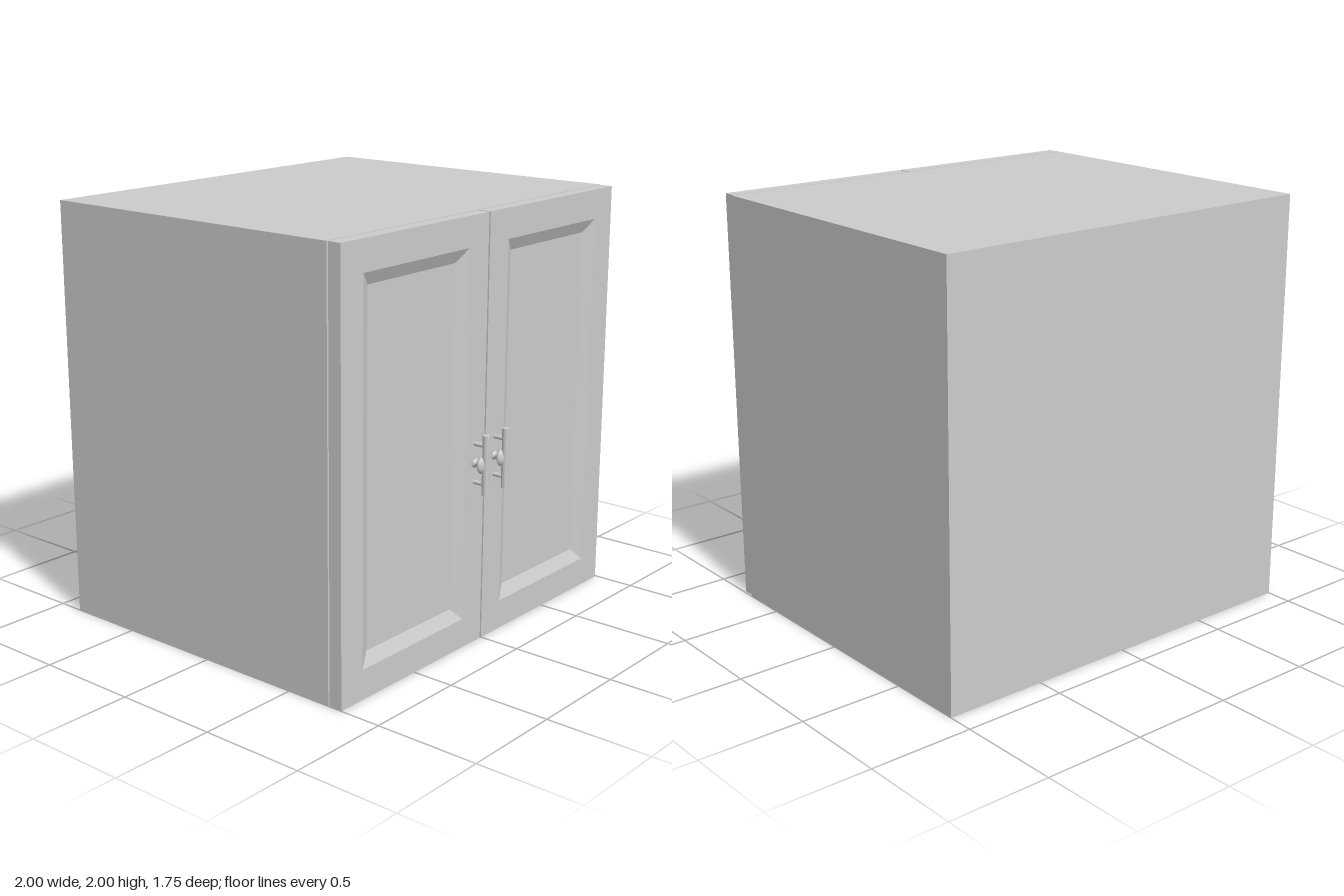
import * as THREE from 'three';

const material = new THREE.MeshStandardMaterial({ color: 0xcccccc });

function addMesh(parent, geometry, name, x = 0, y = 0, z = 0) {
  const mesh = new THREE.Mesh(geometry, material);
  mesh.name = name;
  mesh.position.set(x, y, z);
  parent.add(mesh);
  return mesh;
}

const rectPoints = (x0, x1, y0, y1) =>
  [[x0, y0], [x1, y0], [x1, y1], [x0, y1]].map(([x, y]) => new THREE.Vector2(x, y));

// Solid door lofted through rectangles: back edge, front edge, recess rim, recess floor
function doorGeometry(w, h, t) {
  const ring = (inset, z) =>
    rectPoints(inset, w - inset, inset, h - inset).map((p) => new THREE.Vector3(p.x, p.y, z));
  const rings = [ring(0, 0), ring(0, t), ring(0.14, t), ring(0.2, t - 0.03)];
  const points = [];
  const quad = (a, b, c, d) => points.push(a, b, c, a, c, d);
  for (let i = 0; i < rings.length - 1; i++) {
    for (let j = 0; j < 4; j++) {
      const k = (j + 1) % 4;
      quad(rings[i][j], rings[i][k], rings[i + 1][k], rings[i + 1][j]);
    }
  }
  quad(...rings[3]);
  quad(...[...rings[0]].reverse());
  const geometry = new THREE.BufferGeometry().setFromPoints(points);
  geometry.computeVertexNormals();
  return geometry;
}

// Bar pull on two posts, with a round knob in the middle; z = 0 is the door face
function createHandle(name) {
  const handle = new THREE.Group();
  handle.name = name;
  addMesh(handle, new THREE.CylinderGeometry(0.017, 0.017, 0.28, 24), 'handleBar', 0, 0, 0.062);
  for (const y of [-0.09, 0.09]) {
    const post = new THREE.CylinderGeometry(0.01, 0.01, 0.062, 16).rotateX(Math.PI / 2);
    addMesh(handle, post, 'handlePost', 0, y, 0.031);
  }
  const profile = [
    [0, 0], [0.022, 0], [0.021, 0.004], [0.013, 0.011], [0.012, 0.02], [0.018, 0.028],
    [0.034, 0.036], [0.042, 0.044], [0.041, 0.051], [0.033, 0.059], [0.018, 0.066], [0, 0.069],
  ].map(([r, z]) => new THREE.Vector2(r, z));
  addMesh(handle, new THREE.LatheGeometry(profile, 32).rotateX(Math.PI / 2), 'knob');
  return handle;
}

export function createModel() {
  const model = new THREE.Group();
  model.name = 'cabinet';
  const back = -0.875, front = 0.725, wall = 0.06;

  // Carcass: one-piece shell closed at the rear
  const outline = new THREE.Shape(rectPoints(-1, 1, 0, 2));
  const shell = outline.clone();
  shell.holes.push(new THREE.Path(rectPoints(-1 + wall, 1 - wall, wall, 2 - wall).reverse()));
  addMesh(model, new THREE.ExtrudeGeometry(shell, { depth: front - back, bevelEnabled: false }),
    'carcass', 0, 0, back);
  addMesh(model, new THREE.BoxGeometry(2 - 2 * wall, 2 - 2 * wall, wall), 'backPanel',
    0, 1, back + wall / 2);

  // Inner shelves
  for (const y of [0.69, 1.36]) {
    addMesh(model, new THREE.BoxGeometry(2 - 2 * wall, 0.04, front - back - wall), 'shelf',
      0, y, (front + back + wall) / 2);
  }

  // Pair of recessed-panel doors with a narrow gap between them
  const doorZ = 0.733, thickness = 0.065;
  const door = doorGeometry(0.99, 2, thickness);
  addMesh(model, door, 'rightDoor', -1, 0, doorZ);
  addMesh(model, door, 'leftDoor', 0, 0, doorZ);

  // Handles beside the gap
  for (const [name, x] of [['rightHandle', -0.08], ['leftHandle', 0.07]]) {
    const handle = createHandle(name);
    handle.position.set(x, 0.875, doorZ + thickness);
    model.add(handle);
  }
  return model;
}
